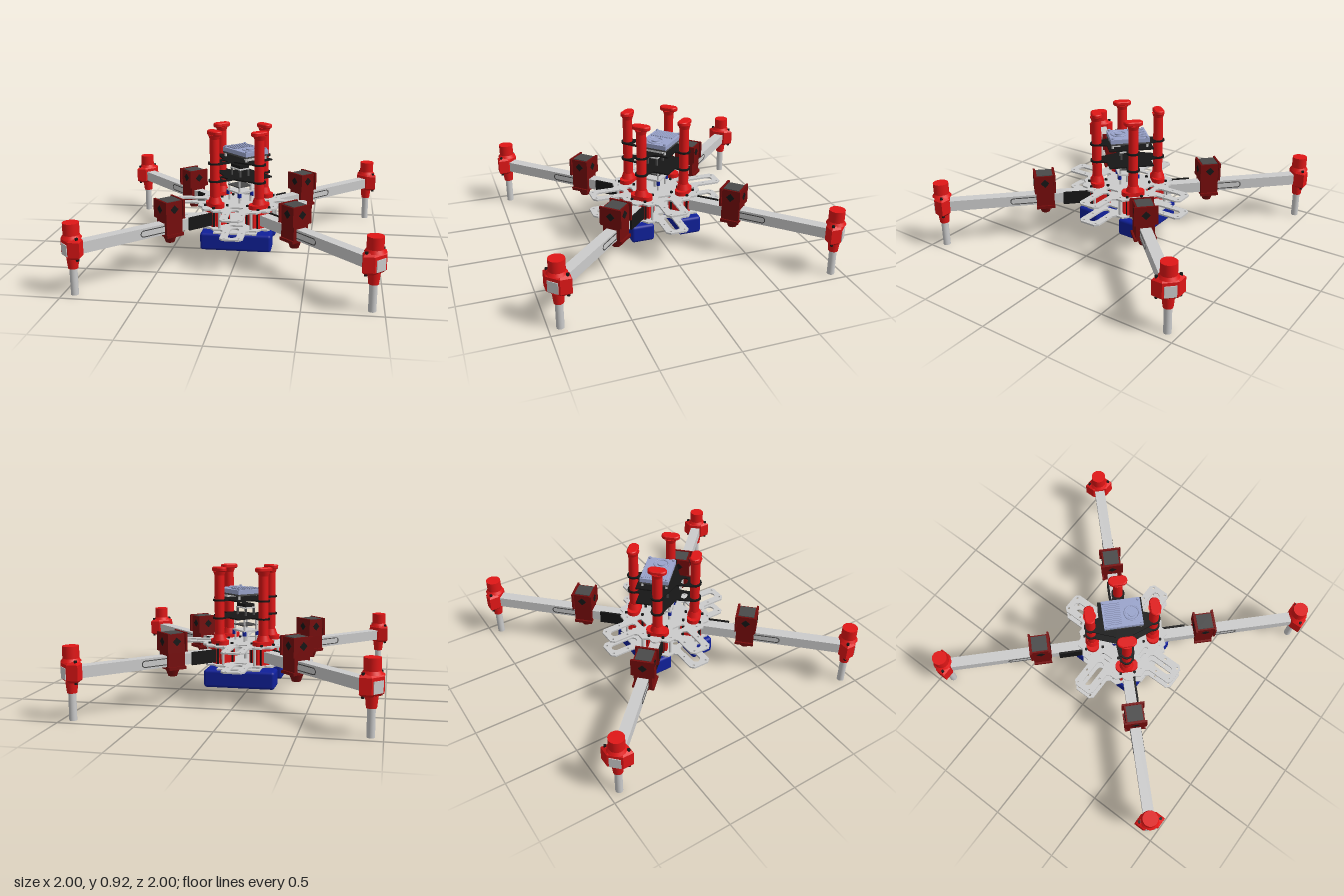
import * as THREE from 'three';
import { RoundedBoxGeometry } from 'three/addons/geometries/RoundedBoxGeometry.js';

const mat = (color) => new THREE.MeshStandardMaterial({ color });
const grey = mat(0xcccccc), red = mat(0xe01616), darkRed = mat(0x760c0c), black = mat(0x161616);
const charcoal = mat(0x4a4a4a), blue = mat(0x10209a), lavender = mat(0x9aa4cc);

function add(parent, name, geo, material, x = 0, y = 0, z = 0) {
  const m = new THREE.Mesh(geo, material);
  m.name = name;
  m.position.set(x, y, z);
  parent.add(m);
  return m;
}
const box = (w, h, d) => new THREE.BoxGeometry(w, h, d);
const cyl = (rTop, rBottom, h, n = 24) => new THREE.CylinderGeometry(rTop, rBottom, h, n);
const group = (parent, name) => {
  const g = new THREE.Group();
  g.name = name;
  parent.add(g);
  return g;
};

// Flat outline in x/z, rising from y = 0 to y = h
function slab(shape, h, bevel = 0) {
  const geo = new THREE.ExtrudeGeometry(shape, {
    depth: h - 2 * bevel, bevelEnabled: bevel > 0, bevelThickness: bevel,
    bevelSize: bevel, bevelOffset: -bevel, bevelSegments: 1, curveSegments: 12,
  });
  return geo.rotateX(-Math.PI / 2).translate(0, bevel, 0);
}
const poly = (pts) => new THREE.Shape(pts.map(([x, y]) => new THREE.Vector2(x, y)));

// Obround along x (or along y when turned)
function obround(halfLength, r, Type = THREE.Shape, cx = 0, cy = 0, turn = 0) {
  const s = new Type(), dx = Math.cos(turn) * halfLength, dy = Math.sin(turn) * halfLength;
  s.absarc(cx + dx, cy + dy, r, turn - Math.PI / 2, turn + Math.PI / 2, false);
  s.absarc(cx - dx, cy - dy, r, turn + Math.PI / 2, turn + Math.PI * 1.5, false);
  s.closePath();
  return s;
}

// Cross-shaped frame plate with four slotted lobes
function framePlate() {
  const pts = [], holes = [];
  const quarter = [[0.455, -0.08], [0.48, -0.055], [0.48, 0.055], [0.455, 0.08], [0.3, 0.08],
    [0.28, 0.1], [0.28, 0.15], [0.24, 0.18], [0.24, 0.22], [0.22, 0.24], [0.18, 0.24],
    [0.15, 0.28], [0.1, 0.28], [0.08, 0.3]];
  for (let k = 0; k < 4; k++) {
    const a = k * Math.PI / 2, c = Math.cos(a), s = Math.sin(a);
    const turn = ([x, y]) => [x * c - y * s, x * s + y * c];
    pts.push(...quarter.map(turn));
    holes.push(obround(0.07, 0.03, THREE.Path, ...turn([0.34, 0]), a));
    holes.push(obround(0.03, 0.018, THREE.Path, ...turn([0.19, 0]), a + Math.PI / 2));
    for (const p of [[0.455, 0.05], [0.455, -0.05], [0.345, 0.057], [0.345, -0.057], [0.25, 0.11], [0.25, -0.11]])
      holes.push(obround(0, 0.008, THREE.Path, ...turn(p)));
  }
  const shape = poly(pts);
  shape.holes = holes;
  return slab(shape, 0.012);
}

// One arm; local +x points outward
function buildArm(parent) {
  const arm = group(parent, 'arm');
  add(arm, 'armTube', box(1.25, 0.075, 0.075), grey, 0.74, 0.308);
  add(arm, 'armClamp', box(0.15, 0.115, 0.11), red, 0.205, 0.308);
  add(arm, 'clampCollar', box(0.03, 0.135, 0.15), red, 0.24, 0.308);
  for (const x of [0.15, 0.27]) for (const z of [-0.05, 0.05])
    add(arm, 'clampBolt', cyl(0.01, 0.01, 0.16, 10), black, x, 0.312, z);
  // speed controller and cable slot on one side of the tube
  add(arm, 'speedController', box(0.2, 0.09, 0.014), black, 0.37, 0.308, -0.044);
  const ring = obround(0.08, 0.024);
  ring.holes.push(obround(0.08, 0.018, THREE.Path));
  for (const side of [-1, 1])
    add(arm, 'cableSlotRim', new THREE.ExtrudeGeometry(ring, { depth: 0.004, bevelEnabled: false }),
      charcoal, 0.74, 0.308, side * 0.038 - 0.002);

  // boxed bracket gripping the tube
  const bracket = group(arm, 'armBracket');
  bracket.position.x = 0.597;
  add(bracket, 'bracketBody', box(0.125, 0.115, 0.125), darkRed, 0, 0.308);
  add(bracket, 'bracketHousing', box(0.13, 0.13, 0.13), darkRed, 0, 0.428);
  add(bracket, 'bracketPad', box(0.11, 0.008, 0.11), charcoal, 0, 0.494);
  for (const s of [-1, 1]) {
    add(bracket, 'bracketPlate', box(0.014, 0.13, 0.16), darkRed, s * 0.067, 0.435);
    add(bracket, 'bracketFlange', box(0.13, 0.02, 0.018), darkRed, 0, 0.26, s * 0.066);
    const port = add(bracket, 'bracketPort', cyl(0.03, 0.03, 0.004, 4), black, s * 0.074, 0.44);
    port.rotation.z = Math.PI / 2;
    const sidePort = add(bracket, 'bracketSidePort', cyl(0.03, 0.03, 0.004, 4), black, 0, 0.44, s * 0.066);
    sidePort.rotation.x = Math.PI / 2;
  }
  add(bracket, 'bracketFoot', cyl(0.05, 0.03, 0.055, 16), darkRed, 0, 0.226);

  // motor mount with pointed wings, motor cup and landing leg
  const end = group(arm, 'motorMount');
  end.position.x = 1.309;
  const hex = poly([[-0.051, -0.051], [0, -0.102], [0.051, -0.051], [0.051, 0.051], [0, 0.102], [-0.051, 0.051]]);
  add(end, 'mountBlock', slab(hex, 0.135, 0.018), red, 0, 0.25);
  add(end, 'motorCup', cyl(0.052, 0.052, 0.1, 32), red, 0, 0.427);
  add(end, 'cupCollar', cyl(0.052, 0.065, 0.02, 32), red, 0, 0.39);
  add(end, 'legSocket', cyl(0.04, 0.032, 0.075), red, 0, 0.215);
  add(end, 'leg', cyl(0.025, 0.025, 0.2), grey, 0, 0.1);
  for (const s of [-1, 1])
    add(end, 'mountBolt', cyl(0.01, 0.01, 0.15, 10), black, 0, 0.318, s * 0.072);

  // tall mast with an obround cap set across the arm
  const mast = group(arm, 'mast');
  mast.position.x = 0.22;
  const across = () => obround(0.03, 0.035, THREE.Shape, 0, 0, Math.PI / 2);
  add(mast, 'mastFoot', slab(obround(0.035, 0.045, THREE.Shape, 0, 0, Math.PI / 2), 0.03), red, 0, 0.38);
  add(mast, 'mastBase', cyl(0.036, 0.05, 0.04), red, 0, 0.43);
  add(mast, 'mastPost', cyl(0.034, 0.034, 0.5), red, 0, 0.64);
  add(mast, 'mastCap', slab(across(), 0.03, 0.006), red, 0, 0.89);
  add(mast, 'mastNeck', cyl(0.044, 0.034, 0.03), red, 0, 0.877);
}

// Shelf plate: local x runs along one diagonal, shape y along the other
function shelfPlate() {
  const s = poly([[0.24, -0.03], [0.24, 0.03], [0.155, 0.06], [0.155, 0.17], [0.04, 0.17], [0.03, 0.25],
    [-0.03, 0.25], [-0.04, 0.17], [-0.155, 0.17], [-0.155, 0.06], [-0.24, 0.03], [-0.24, -0.03],
    [-0.14, -0.07], [-0.06, -0.1], [-0.05, -0.24], [0.05, -0.24], [0.06, -0.1], [0.14, -0.07]]);
  s.holes.push(obround(0.015, 0.022, THREE.Path, 0, -0.145));
  return slab(s, 0.01);
}

function buildStack(parent) {
  const stack = group(parent, 'electronicsStack');
  stack.rotation.y = -Math.PI / 4;
  for (const y of [0.56, 0.685]) {
    add(stack, 'shelf', shelfPlate(), black, 0, y);
    for (let k = 0; k < 4; k++) {
      const a = k * Math.PI / 2;
      add(stack, 'shelfRing', cyl(0.046, 0.046, 0.012), black, 0.22 * Math.cos(a), y + 0.005, 0.22 * Math.sin(a));
    }
  }
  // onboard computer with heat sink and fan
  const pc = group(stack, 'computer');
  pc.position.set(0.005, 0, -0.045);
  add(pc, 'computerBoard', box(0.27, 0.012, 0.2), charcoal, 0, 0.727);
  add(pc, 'computerCase', box(0.27, 0.03, 0.2), lavender, 0, 0.748);
  for (let i = 0; i < 12; i++)
    add(pc, 'heatSinkFin', box(0.11, 0.012, 0.006), lavender, -0.065, 0.766, -0.077 + i * 0.014);
  const fan = add(pc, 'fanRim', new THREE.TorusGeometry(0.05, 0.006, 8, 32), lavender, 0.065, 0.765, 0.01);
  fan.rotation.x = Math.PI / 2;
  add(pc, 'fanHub', cyl(0.028, 0.028, 0.012), lavender, 0.065, 0.767, 0.01);
  for (const x of [-0.12, 0.12]) for (const z of [-0.085, 0.085]) {
    add(pc, 'computerStandoff', cyl(0.009, 0.009, 0.035, 10), grey, x, 0.708, z);
    add(pc, 'computerScrew', cyl(0.01, 0.01, 0.012, 10), lavender, x, 0.768, z);
  }
  add(pc, 'computerPorts', box(0.05, 0.025, 0.13), grey, 0.09, 0.71);

  // flight controller raised on its own feet
  add(stack, 'controllerBody', box(0.11, 0.022, 0.08), black, 0, 0.642);
  add(stack, 'controllerTray', box(0.12, 0.008, 0.09), grey, 0, 0.625);
  for (const x of [-0.05, 0.05]) for (const z of [-0.035, 0.035])
    add(stack, 'controllerFoot', box(0.012, 0.06, 0.012), charcoal, x, 0.597, z);

  // power board beneath the shelves
  add(stack, 'powerBoard', box(0.15, 0.012, 0.13), grey, 0, 0.46);
  add(stack, 'powerBoardTop', box(0.13, 0.008, 0.12), charcoal, 0, 0.5);
  for (const x of [-0.06, 0.06]) for (const z of [-0.05, 0.05]) {
    add(stack, 'powerStandoff', cyl(0.008, 0.008, 0.18, 10), grey, x, 0.475, z);
    add(stack, 'capacitor', cyl(0.013, 0.013, 0.03, 12), blue, x * 1.1, 0.442, z * 1.1);
  }
  add(stack, 'centrePillar', cyl(0.012, 0.012, 0.22, 12), grey, 0, 0.35);
}

export function createModel() {
  const model = new THREE.Group();
  model.name = 'quadcopter';

  // centre frame
  add(model, 'topPlate', framePlate(), grey, 0, 0.368);
  add(model, 'bottomPlate', framePlate(), grey, 0, 0.238);
  for (let k = 0; k < 4; k++) {
    const spoke = group(model, 'spoke');
    spoke.rotation.y = -k * Math.PI / 2;
    for (const z of [-0.11, 0.11])
      add(spoke, 'plateSpacer', cyl(0.01, 0.01, 0.13, 12), grey, 0.25, 0.308, z);
    const quarter = group(model, 'quarter');
    quarter.rotation.y = -Math.PI / 4 - k * Math.PI / 2;
    buildArm(quarter);
  }

  // batteries hung under the frame
  for (const s of [-1, 1]) {
    add(model, 'batteryPlate', box(0.3, 0.01, 0.22), grey, 0, 0.222, s * 0.175);
    add(model, 'battery', new RoundedBoxGeometry(0.5, 0.125, 0.166, 3, 0.02), blue, 0, 0.148, s * 0.175);
    for (const x of [-0.12, 0.12])
      add(model, 'batteryHanger', cyl(0.008, 0.008, 0.03, 10), grey, x, 0.232, s * 0.12);
  }

  buildStack(model);
  return model;
}
